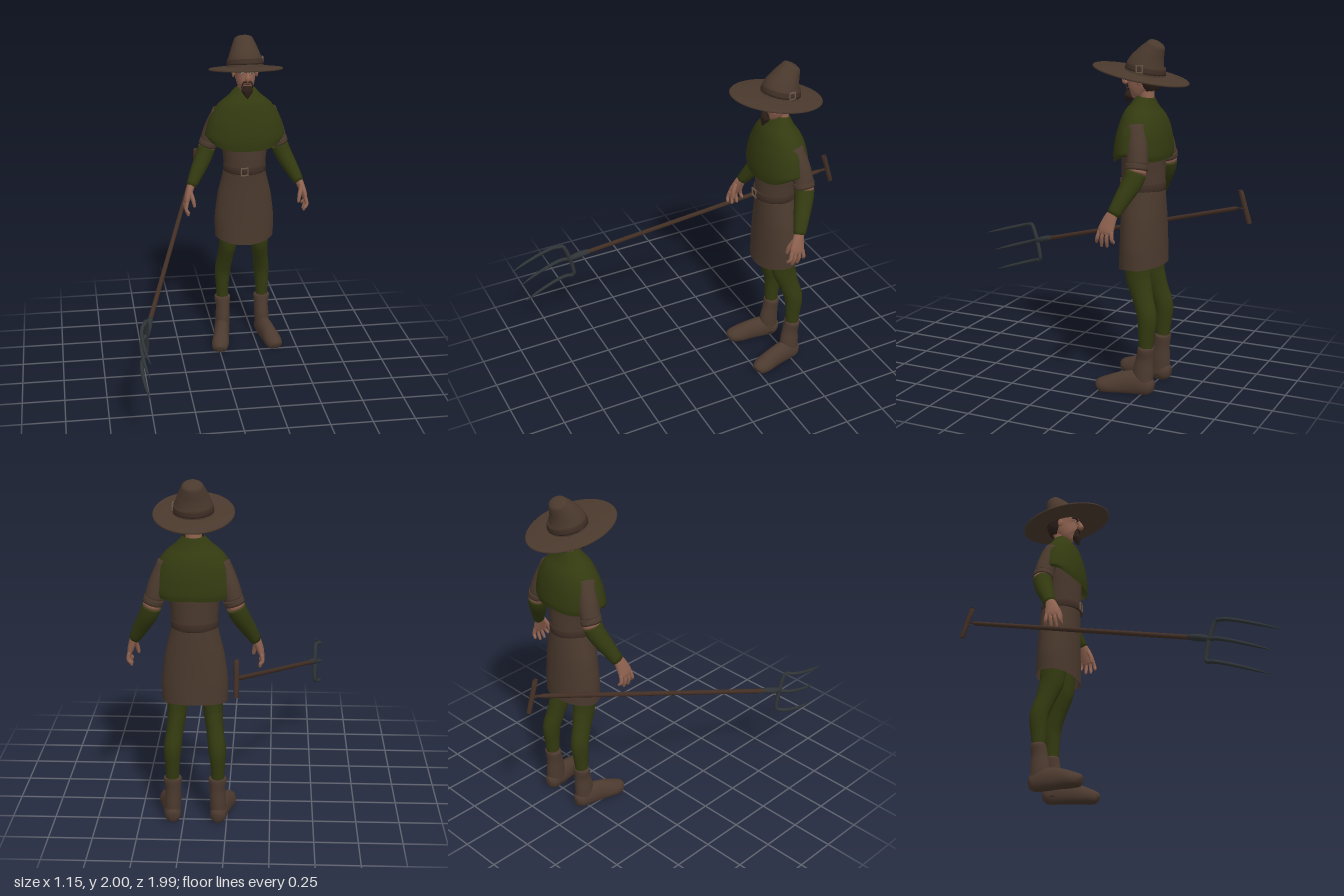
import * as THREE from 'three';

const mat = (name, color, side = THREE.FrontSide) => {
  const m = new THREE.MeshStandardMaterial({ color, side });
  m.name = name;
  return m;
};

// Sweeps ellipses along a smooth path. Each ring is [x, y, z, halfWidth, halfDepth].
function loft(rings, { sides = 20, steps = 4, caps = true, warp } = {}) {
  const path = new THREE.CatmullRomCurve3(rings.map(r => new THREE.Vector3(r[0], r[1], r[2])), false, 'catmullrom');
  const size = new THREE.CatmullRomCurve3(rings.map(r => new THREE.Vector3(r[3], r[4], 0)), false, 'catmullrom');
  const rows = (rings.length - 1) * steps;
  const pos = [], idx = [];
  for (let i = 0; i <= rows; i++) {
    const t = i / rows, c = path.getPoint(t), s = size.getPoint(t), dir = path.getTangent(t);
    const side = new THREE.Vector3(1, 0, 0).addScaledVector(dir, -dir.x).normalize();
    const up = new THREE.Vector3().crossVectors(dir, side);
    for (let j = 0; j < sides; j++) {
      const a = j / sides * Math.PI * 2;
      const p = c.clone().addScaledVector(side, s.x * Math.cos(a)).addScaledVector(up, s.y * Math.sin(a));
      if (warp) warp(p, t, a);
      pos.push(p.x, p.y, p.z);
      if (i < rows) {
        const k = i * sides, n = (j + 1) % sides;
        idx.push(k + j, k + n, k + sides + n, k + j, k + sides + n, k + sides + j);
      }
    }
  }
  if (caps) {
    const first = path.getPoint(0), last = path.getPoint(1), base = pos.length / 3, top = rows * sides;
    pos.push(first.x, first.y, first.z, last.x, last.y, last.z);
    for (let j = 0; j < sides; j++) {
      const n = (j + 1) % sides;
      idx.push(base, n, j, base + 1, top + j, top + n);
    }
  }
  const g = new THREE.BufferGeometry();
  g.setAttribute('position', new THREE.Float32BufferAttribute(pos, 3));
  g.setIndex(idx);
  g.computeVertexNormals();
  return g;
}

// Square buckle frame with a hole
function buckleGeometry(w, h, t) {
  const box = (s, a, b) => s.moveTo(-a, -b).lineTo(a, -b).lineTo(a, b).lineTo(-a, b).lineTo(-a, -b);
  const shape = box(new THREE.Shape(), w, h);
  shape.holes.push(box(new THREE.Path(), w - t, h - t));
  return new THREE.ExtrudeGeometry(shape, { depth: 0.008, bevelEnabled: false });
}

export function createModel() {
  const cloth = mat('brown cloth', 0x4a392d, THREE.DoubleSide);
  const green = mat('green wool', 0x333a10, THREE.DoubleSide);
  const skin = mat('skin', 0x8f6250);
  const boots = mat('boot leather', 0x4c3a2f);
  const belt = mat('belt leather', 0x3e2e25);
  const hair = mat('dark hair', 0x2b1e18);
  const wood = mat('handle wood', 0x422f25);
  const iron = mat('dark iron', 0x2f3436);
  const metal = mat('buckle metal', 0x6b5748);
  const eye = mat('eye white', 0xa59a90);

  const model = new THREE.Group();
  const person = new THREE.Group();
  person.name = 'farmer';
  person.position.x = 0.18;
  model.add(person);
  const add = (name, geo, m, parent = person) => {
    const mesh = new THREE.Mesh(geo, m);
    mesh.name = name;
    parent.add(mesh);
    return mesh;
  };

  // Tunic and skirt, with the hem rising at the sides and back
  add('tunic', loft([[0, 1.16, -.436, .125, .121], [0, 1.3, -.435, .138, .122], [0, 1.45, -.44, .155, .115],
    [0, 1.57, -.445, .09, .07]], { sides: 28 }), cloth);
  add('skirt', loft([[0, .705, -.443, .185, .132], [0, .85, -.443, .187, .128], [0, 1, -.442, .17, .125],
    [0, 1.1, -.44, .147, .123], [0, 1.19, -.436, .126, .122]], {
    sides: 36, caps: false,
    warp: (p, t, a) => { p.y += Math.max(0, 1 - t * 3) * (.03 * Math.cos(a) ** 2 + .045 * Math.max(0, Math.sin(a)) ** 2); }
  }), cloth);
  add('belt', loft([[0, 1.172, -.432, .131, .128], [0, 1.194, -.432, .134, .131], [0, 1.216, -.432, .131, .128]],
    { sides: 28 }), belt);
  add('beltBuckle', buckleGeometry(.024, .026, .007), metal).position.set(-.02, 1.194, -.304);

  // Shoulder cape
  add('cape', loft([[0, 1.325, -.435, .236, .15], [0, 1.39, -.436, .246, .153], [0, 1.5, -.438, .222, .14],
    [0, 1.59, -.436, .168, .112], [0, 1.645, -.44, .105, .077], [0, 1.695, -.447, .057, .047]], {
    sides: 36, caps: false,
    warp: (p, t, a) => { p.y += Math.max(0, 1 - t * 3.5) * (.065 * Math.cos(a) ** 4 + .035 * Math.max(0, Math.sin(a)) ** 2); }
  }), green);

  // Head and face
  add('neck', loft([[0, 1.58, -.45, .05, .048], [0, 1.68, -.45, .045, .043], [0, 1.76, -.44, .046, .05]]), skin);
  add('head', loft([[0, 1.684, -.372, .018, .022], [0, 1.71, -.393, .044, .057], [0, 1.745, -.41, .057, .076],
    [0, 1.79, -.43, .065, .095], [0, 1.85, -.435, .068, .1], [0, 1.89, -.44, .05, .07]]), skin);
  add('nose', loft([[0, 1.822, -.34, .008, .008], [0, 1.795, -.324, .011, .013], [0, 1.772, -.316, .018, .016],
    [0, 1.76, -.33, .012, .01]], { sides: 12 }), skin);
  add('hair', loft([[0, 1.728, -.48, .045, .042], [0, 1.765, -.474, .066, .064], [0, 1.82, -.466, .073, .077],
    [0, 1.87, -.46, .07, .075]]), hair);
  add('goatee', loft([[0, 1.722, -.345, .026, .016], [0, 1.695, -.344, .036, .024], [0, 1.672, -.337, .022, .016],
    [0, 1.648, -.33, .004, .004]], { sides: 12 }), hair);
  add('mouth', new THREE.BoxGeometry(.036, .005, .008), belt).position.set(0, 1.736, -.339);

  for (const s of [1, -1]) {
    const pre = s > 0 ? 'left' : 'right';
    const part = (name, rings, m, opts) =>
      add(pre + name, loft(rings.map(r => [s * r[0], ...r.slice(1)]), opts), m);

    // Eyes, brows, moustache, ears
    const e = add(pre + 'Eye', new THREE.SphereGeometry(.009, 12, 8), eye);
    e.position.set(s * .027, 1.802, -.346);
    e.scale.set(1.3, .6, .7);
    add(pre + 'Iris', new THREE.SphereGeometry(.004, 8, 6), hair).position.set(s * .027, 1.802, -.341);
    part('Brow', [[.01, 1.813, -.333, .004, .005], [.03, 1.823, -.34, .005, .006], [.05, 1.82, -.364, .003, .003]], hair, { sides: 8 });
    part('Moustache', [[.004, 1.752, -.33, .005, .005], [.024, 1.748, -.335, .004, .005], [.034, 1.712, -.348, .003, .004]], hair, { sides: 8 });
    const ear = add(pre + 'Ear', new THREE.SphereGeometry(.024, 12, 10), skin);
    ear.position.set(s * .072, 1.785, -.432);
    ear.scale.set(.4, 1.1, .7);

    // Arm: brown upper sleeve, bare gap, green lower sleeve
    part('UpperSleeve', [[.14, 1.54, -.45, .06, .06], [.19, 1.43, -.475, .058, .06], [.222, 1.335, -.487, .054, .06]], cloth);
    part('SleeveCuff', [[.216, 1.352, -.486, .057, .063], [.227, 1.318, -.487, .057, .063]], cloth);
    part('ArmSkin', [[.218, 1.34, -.487, .052, .057], [.234, 1.3, -.485, .052, .057]], skin);
    part('LowerSleeve', [[.23, 1.306, -.486, .054, .059], [.252, 1.25, -.472, .053, .056], [.3, 1.16, -.432, .044, .046],
      [.34, 1.085, -.4, .032, .036]], green);

    // Hand
    part('Palm', [[.334, 1.105, -.403, .025, .028], [.352, 1.06, -.386, .023, .038], [.37, 1.005, -.371, .018, .046],
      [.373, .98, -.368, .011, .04]], skin, { sides: 14 });
    const tipZ = [-.315, -.345, -.378, -.415], tipY = [.927, .907, .907, .93];
    for (let k = 0; k < 4; k++) {
      const z = -.334 - .024 * k;
      part('Finger' + (k + 1), [[.372, 1, z, .011, .011], [.38, .96, (z + tipZ[k]) / 2, .011, .011],
        [.366, tipY[k] + .01, tipZ[k], .009, .009], [.363, tipY[k], tipZ[k], .003, .003]], skin, { sides: 8 });
    }
    part('Thumb', [[.35, 1.06, -.36, .014, .014], [.335, 1.015, -.338, .013, .013], [.328, .975, -.33, .009, .009],
      [.328, .967, -.329, .003, .003]], skin, { sides: 8 });

    // Leg and boot
    part('Leg', [[.13, .24, -.512, .036, .037], [.13, .35, -.516, .041, .047], [.127, .46, -.518, .05, .057],
      [.115, .56, -.488, .049, .061], [.106, .63, -.466, .052, .07], [.1, .7, -.45, .057, .076], [.092, .88, -.445, .07, .08]], green);
    part('BootShaft', [[.133, .03, -.5, .046, .057], [.13, .13, -.5, .047, .06], [.127, .21, -.507, .045, .05],
      [.129, .268, -.515, .053, .047], [.129, .283, -.516, .046, .043]], boots);
    part('BootFoot', [[.127, .045, -.565, .02, .03], [.13, .05, -.535, .045, .056], [.14, .058, -.46, .05, .075],
      [.155, .05, -.38, .05, .07], [.172, .035, -.3, .055, .055], [.183, .028, -.25, .042, .04], [.186, .022, -.234, .014, .016]],
    boots, { warp: p => { p.y = Math.max(p.y, .003); } });
  }

  // Wide-brimmed hat with a leaning crown
  const brim = add('hatBrim', new THREE.LatheGeometry([[0, .004], [.11, .004], [.2, .002], [.276, -.007], [.281, -.002],
    [.276, .004], [.2, .011], [.11, .016], [0, .016]].map(p => new THREE.Vector2(...p)), 48), cloth);
  brim.scale.x = .8;
  brim.rotation.x = -.18;
  brim.position.set(0, 1.815, -.413);
  add('hatCrown', loft([[0, 1.815, -.436, .115, .118], [0, 1.865, -.446, .104, .107], [0, 1.915, -.468, .086, .082],
    [0, 1.96, -.494, .066, .06], [0, 1.984, -.509, .052, .045], [0, 1.992, -.514, .02, .018]], { sides: 28 }), cloth);
  add('hatBand', loft([[0, 1.834, -.44, .114, .117], [0, 1.868, -.447, .107, .11]], { sides: 28 }), belt);
  const hatBuckle = add('hatBuckle', buckleGeometry(.02, .022, .006), metal);
  hatBuckle.rotation.set(0, Math.PI / 2, 0);
  hatBuckle.position.set(.106, 1.855, -.45);

  // Pitchfork
  const fork = new THREE.Group();
  fork.name = 'pitchfork';
  model.add(fork);
  const bar = (name, rings, m) => add(name, loft(rings, { sides: 12 }), m, fork);
  bar('handle', [[-.07, 1.06, -.95, .013, .013], [-.515, .6, .55, .014, .014]], wood);
  bar('handleGrip', [[-.07, 1.157, -.925, .014, .015], [-.07, .967, -.983, .014, .015]], wood);
  bar('socket', [[-.5, .617, .5, .016, .016], [-.518, .598, .56, .022, .02], [-.53, .578, .625, .014, .014]], iron);
  bar('crossbar', [[-.545, .683, .672, .01, .01], [-.533, .672, .65, .012, .012], [-.53, .58, .617, .013, .013],
    [-.53, .47, .595, .012, .012], [-.543, .447, .604, .01, .01]], iron);
  [[.683, .668, .59, .995], [.577, .62, .477, .94], [.447, .6, .345, .922]].forEach(([y, z, tipY, tipZ], i) => {
    const at = (x, f, r) => [x, y + (tipY - y) * f, z + (tipZ - z) * f, r, r];
    bar('tine' + (i + 1), [at(-.535, 0, .011), at(-.562, .15, .011), at(-.568, .4, .01), at(-.557, .75, .008), at(-.54, 1, .002)], iron);
  });
  return model;
}
